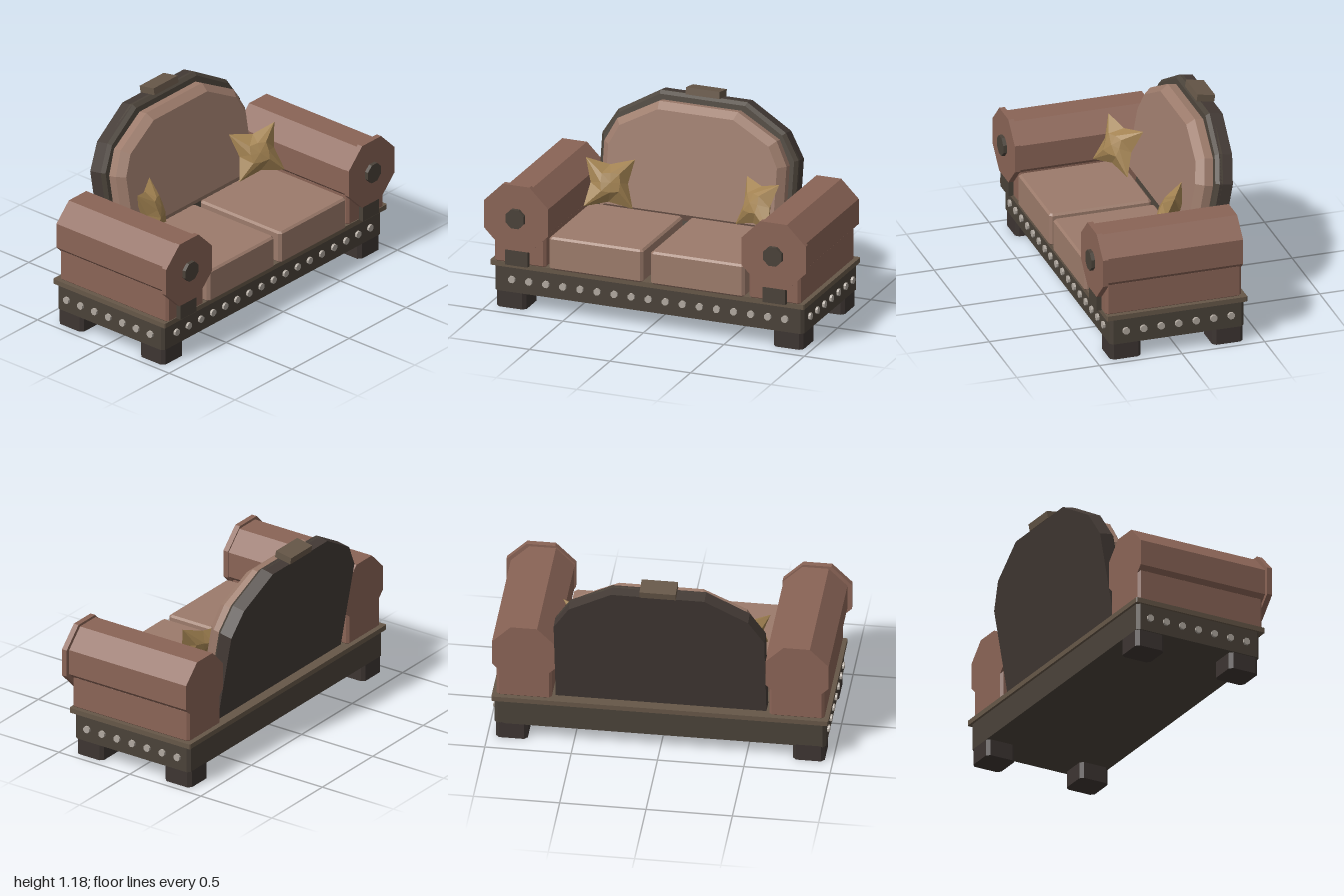
import * as THREE from 'three';

const COLORS = {
  arm: 0x8a6456, cushion: 0x9c7b6b, wood: 0x4a4239, trim: 0x665748,
  leg: 0x3d3532, panel: 0x433a35, stud: 0xb0a89f, pillow: 0xa38352,
};
const materials = {};
for (const [key, color] of Object.entries(COLORS)) {
  materials[key] = new THREE.MeshStandardMaterial({ color, flatShading: true });
}

function add(parent, name, geometry, material, x = 0, y = 0, z = 0) {
  const mesh = new THREE.Mesh(geometry, materials[material]);
  mesh.name = name;
  mesh.position.set(x, y, z);
  parent.add(mesh);
  return mesh;
}

const polygon = (points) => new THREE.Shape(points.map(([x, y]) => new THREE.Vector2(x, y)));

// Extrusion from z = 0 to z = depth, with an optional single chamfer inside the outline
function slab(shape, depth, bevel = 0) {
  const geometry = new THREE.ExtrudeGeometry(shape, {
    depth: depth - 2 * bevel, bevelEnabled: bevel > 0, bevelSegments: 1,
    bevelSize: bevel, bevelThickness: bevel, bevelOffset: -bevel,
  });
  return geometry.translate(0, 0, bevel);
}

// Upright block between two corners with chamfered vertical edges
function block(x0, x1, y0, y1, z0, z1, cut, bevel = 0) {
  const w = (x1 - x0) / 2, d = (z1 - z0) / 2;
  const shape = polygon([
    [w - cut, -d], [w, cut - d], [w, d - cut], [w - cut, d],
    [cut - w, d], [-w, d - cut], [-w, cut - d], [cut - w, -d],
  ]);
  return slab(shape, y1 - y0, bevel).rotateX(-Math.PI / 2)
    .translate((x0 + x1) / 2, y0, (z0 + z1) / 2);
}

// Eight-sided bar along z, flat side up
function octagon(apothem, z0, z1) {
  const r = apothem / Math.cos(Math.PI / 8);
  return new THREE.CylinderGeometry(r, r, z1 - z0, 8)
    .rotateY(Math.PI / 8).rotateX(Math.PI / 2).translate(0, 0, (z0 + z1) / 2);
}

// Symmetric arch from its bottom height and right-hand points, listed upward
function arch(bottom, side) {
  const right = [[side[0][0], bottom], ...side];
  return polygon([...right, ...right.map(([x, y]) => [-x, y]).reverse()]);
}

// Square pillow with drawn-out corners: an edge ring, and a raised ring and peak on each face
function pillowGeometry(half, puff) {
  const ring = (corner, middle, z) => Array.from({ length: 8 }, (_, i) => {
    const a = i * Math.PI / 4, r = i % 2 ? corner * Math.SQRT2 : middle;
    return [r * Math.cos(a), r * Math.sin(a), z];
  });
  const positions = [];
  const edge = ring(half, half * 0.76, 0);
  for (const s of [1, -1]) {
    const raised = ring(half * 0.36, half * 0.4, puff * 0.85 * s);
    const peak = [0, 0, puff * s];
    const face = (a, b, c) => positions.push(...(s > 0 ? [a, b, c] : [a, c, b]).flat());
    for (let i = 0; i < 8; i++) {
      const j = (i + 1) % 8;
      face(edge[i], edge[j], raised[j]);
      face(edge[i], raised[j], raised[i]);
      face(raised[i], raised[j], peak);
    }
  }
  const geometry = new THREE.BufferGeometry();
  geometry.setAttribute('position', new THREE.Float32BufferAttribute(positions, 3));
  geometry.computeVertexNormals();
  return geometry;
}

export function createModel() {
  const sofa = new THREE.Group();
  sofa.name = 'sofa';

  // Plinth and its overhanging ledge
  add(sofa, 'base', block(-0.96, 0.96, 0.1, 0.265, -0.39, 0.42, 0.018), 'wood');
  add(sofa, 'ledge', block(-0.975, 0.975, 0.26, 0.29, -0.405, 0.445, 0.006), 'trim');

  // Stud rows along the front and both ends
  const studs = new THREE.Group();
  studs.name = 'studs';
  sofa.add(studs);
  const stud = octagon(0.02, -0.005, 0.014);
  for (let i = 0; i < 17; i++) add(studs, 'frontStud', stud, 'stud', -0.848 + i * 0.106, 0.18, 0.42);
  for (const s of [-1, 1]) {
    for (let i = 0; i < 7; i++) {
      add(studs, 'sideStud', stud, 'stud', s * 0.96, 0.18, 0.327 - i * 0.106).rotation.y = s * Math.PI / 2;
    }
  }

  for (const s of [-1, 1]) {
    const side = s > 0 ? 'left' : 'right';

    // Feet
    for (const z of [0.322, -0.297]) {
      add(sofa, side + 'Leg', block(-0.092, 0.092, 0, 0.105, -0.093, 0.093, 0.02), 'leg', s * 0.86, 0, z);
    }

    // Rolled arm with its end disc, boss and bracket
    const arm = new THREE.Group();
    arm.name = side + 'Arm';
    sofa.add(arm);
    add(arm, 'armBase', block(-0.16, 0.16, 0.285, 0.488, -0.378, 0.444, 0.015, 0.01), 'arm', s * 0.79);
    add(arm, 'armRoll', octagon(0.185, -0.378, 0.446), 'arm', s * 0.79, 0.58);
    add(arm, 'armDisc', octagon(0.2, 0.445, 0.478), 'arm', s * 0.8, 0.58);
    add(arm, 'armBoss', octagon(0.057, 0.47, 0.5), 'wood', s * 0.8, 0.58);
    add(arm, 'armBracket', new THREE.BoxGeometry(0.14, 0.1, 0.035), 'wood', s * 0.8, 0.335, 0.456);

    // Seat cushion
    const seat = block(-0.292, 0.292, 0.285, 0.486, -0.16, 0.458, 0.016, 0.012);
    add(sofa, side + 'SeatCushion', seat, 'cushion', s * 0.315);

    // Throw pillow leaning in the corner
    const pillow = add(sofa, side + 'Pillow', pillowGeometry(0.142, 0.062), 'pillow', s * 0.46, 0.645, -0.1);
    pillow.rotation.set(-0.38, -s * 0.5, s * 0.09, 'YXZ');
  }

  // Leaning arched back: panel, chamfered rim, cushion and crest
  const back = new THREE.Group();
  back.name = 'back';
  back.position.set(0, 0.29, -0.342);
  back.rotation.x = -THREE.MathUtils.degToRad(10);
  sofa.add(back);
  const frame = arch(-0.02, [[0.61, 0.55], [0.52, 0.7], [0.27, 0.846]]);
  const pad = arch(0.12, [[0.566, 0.52], [0.495, 0.66], [0.245, 0.796]]);
  add(back, 'backPanel', slab(frame, 0.08), 'panel');
  add(back, 'backRim', slab(frame, 0.06, 0.02), 'wood', 0, 0, 0.04);
  add(back, 'backCushion', slab(pad, 0.135, 0.042), 'cushion', 0, 0, 0.06);
  add(back, 'crest', new THREE.BoxGeometry(0.21, 0.042, 0.108), 'trim', 0, 0.866, 0.05);

  return sofa;
}
